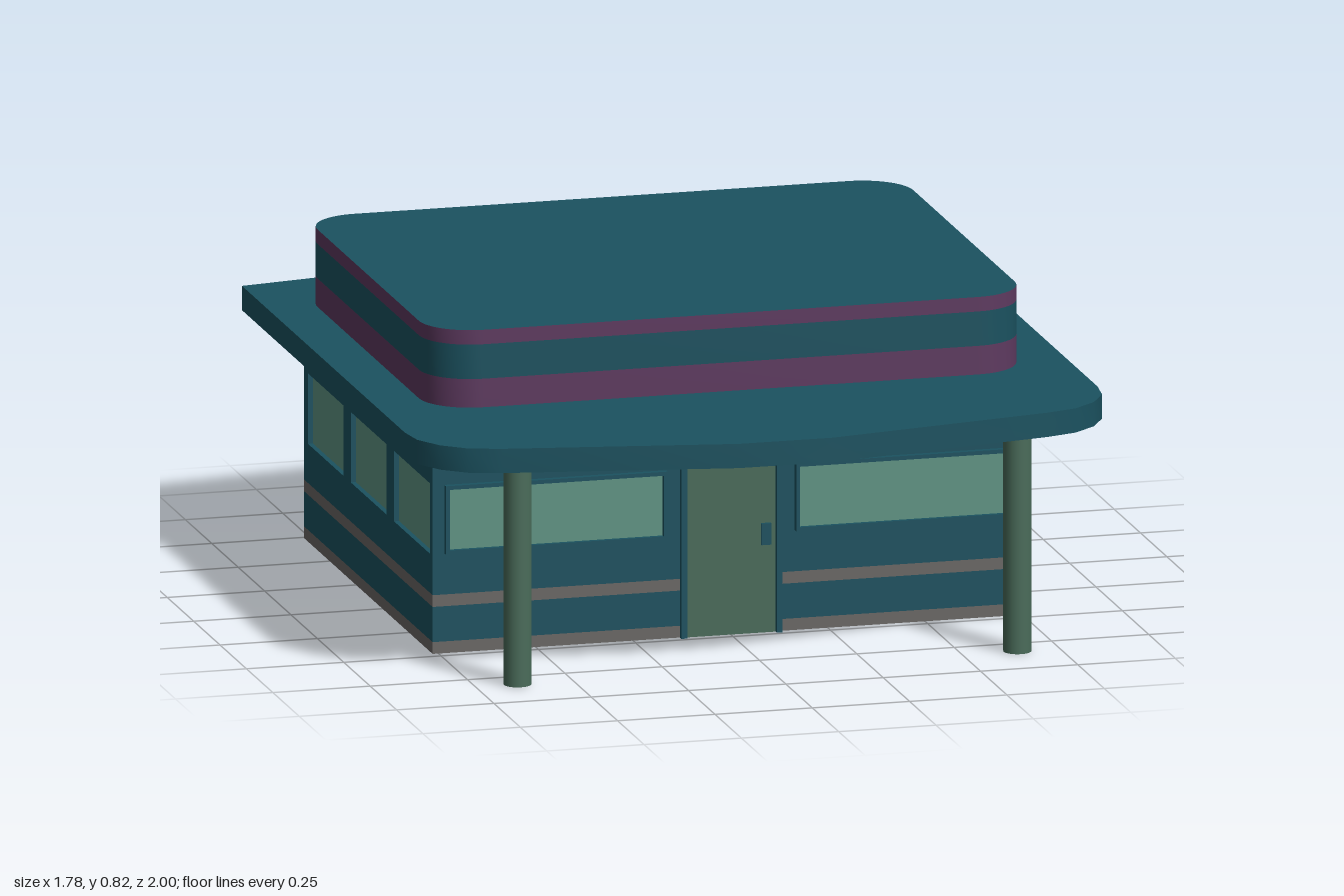
import * as THREE from 'three';
import { toCreasedNormals } from 'three/addons/utils/BufferGeometryUtils.js';

const paint = (color) => new THREE.MeshStandardMaterial({ color });
const teal = paint(0x1b5260), purple = paint(0x5e3a60), grey = paint(0x6b6866);
const glass = paint(0x609584), green = paint(0x4a6c5a);

// Footprint of the building
const X = 0.765, Z0 = -0.745, Z1 = 0.475, ZC = (Z0 + Z1) / 2, D = Z1 - Z0;
const RECESS = 0.015;

function add(parent, name, geometry, material, x = 0, y = 0, z = 0) {
  const mesh = new THREE.Mesh(geometry, material);
  mesh.name = name;
  mesh.position.set(x, y, z);
  parent.add(mesh);
  return mesh;
}

// Box given by its limits
function block(parent, name, material, [x0, x1], [y0, y1], [z0, z1]) {
  return add(parent, name, new THREE.BoxGeometry(x1 - x0, y1 - y0, z1 - z0), material,
    (x0 + x1) / 2, (y0 + y1) / 2, (z0 + z1) / 2);
}

// Rectangle outline, usable as a shape or as a hole
function rect(x0, x1, y0, y1, Type = THREE.Shape) {
  return new Type([[x0, y0], [x1, y0], [x1, y1], [x0, y1]].map(([x, y]) => new THREE.Vector2(x, y)));
}

// Plan outline (x, -z) raised from y0 to y1
function slab(parent, name, shape, materials, y0, y1) {
  const geo = new THREE.ExtrudeGeometry(shape, { depth: y1 - y0, bevelEnabled: false, curveSegments: 6 });
  geo.rotateX(-Math.PI / 2);
  return add(parent, name, toCreasedNormals(geo, 0.6), materials, 0, y0, 0);
}

function roundedPlan(r) {
  const a = -Z1, b = -Z0, s = new THREE.Shape();
  s.moveTo(-X + r, a);
  s.lineTo(X - r, a);
  s.absarc(X - r, a + r, r, -Math.PI / 2, 0);
  s.absarc(X - r, b - r, r, 0, Math.PI / 2);
  s.absarc(-X + r, b - r, r, Math.PI / 2, Math.PI);
  s.absarc(-X + r, a + r, r, Math.PI, Math.PI * 1.5);
  return s;
}

// Wall panel in local x/y with recessed windows, facing local +z from z = 0
function windowWall(parent, name, width, windows) {
  const wall = new THREE.Group();
  wall.name = name;
  const shape = rect(-width / 2, width / 2, 0.15, 0.48);
  for (const [x0, x1] of windows) shape.holes.push(rect(x0, x1, 0.25, 0.43, THREE.Path));
  add(wall, 'wallPanel', new THREE.ExtrudeGeometry(shape, { depth: RECESS, bevelEnabled: false }), teal, 0, 0, -RECESS);
  for (const [x0, x1] of windows) {
    block(wall, 'windowPane', glass, [x0, x1], [0.25, 0.43], [-RECESS - 0.005, -RECESS + 0.002]);
  }
  parent.add(wall);
  return wall;
}

export function createModel() {
  const model = new THREE.Group();
  model.name = 'roadsideBuilding';

  // Horizontal wall bands
  const base = [grey, grey, grey, teal, grey, grey];
  block(model, 'baseTrim', base, [-X, X], [0, 0.03], [Z0, Z1]);
  block(model, 'lowerWall', teal, [-X, X], [0.03, 0.12], [Z0, Z1]);
  block(model, 'middleTrim', grey, [-X, X], [0.12, 0.15], [Z0, Z1]);
  block(model, 'wallCore', teal, [-X + RECESS, X - RECESS], [0.15, 0.48], [Z0 + RECESS, Z1 - RECESS]);
  block(model, 'upperWallBand', purple, [-X, X], [0.48, 0.56], [Z0, Z1]);

  // Window walls on every side
  windowWall(model, 'frontWall', 2 * X, []).position.set(0, 0, Z1);
  const back = windowWall(model, 'backWall', 2 * X, [[0.165, 0.735]]);
  back.rotation.y = Math.PI;
  back.position.z = Z0;
  const sideWindows = [[0.11, 0.45], [-0.30, 0.04], [-0.705, -0.37]];
  for (const s of [1, -1]) {
    const panes = sideWindows.map(([a, b]) => [-s * (a - ZC), -s * (b - ZC)].sort((p, q) => p - q));
    const wall = windowWall(model, s > 0 ? 'rightViewWall' : 'leftViewWall', D, panes);
    wall.rotation.y = s * Math.PI / 2;
    wall.position.set(s * X, 0, ZC);
  }

  // Framed front windows
  for (const s of [1, -1]) {
    const frame = rect(-0.285, 0.285, 0.255, 0.43);
    frame.holes.push(rect(-0.275, 0.275, 0.265, 0.42, THREE.Path));
    add(model, 'frontWindowFrame', new THREE.ExtrudeGeometry(frame, { depth: 0.015, bevelEnabled: false }), teal, s * 0.45, 0, Z1);
    block(model, 'frontWindowPane', glass, [s * 0.45 - 0.275, s * 0.45 + 0.275], [0.265, 0.42], [Z1 - 0.005, Z1 + 0.004]);
  }

  // Door with frame and handle
  for (const s of [1, -1]) {
    block(model, 'doorPost', teal, [s * 0.1225 - 0.0075, s * 0.1225 + 0.0075], [0, 0.48], [Z1, Z1 + 0.015]);
  }
  block(model, 'doorLintel', teal, [-0.115, 0.115], [0.468, 0.48], [Z1, Z1 + 0.015]);
  block(model, 'door', green, [-0.115, 0.115], [0, 0.468], [Z1 - 0.01, Z1 + 0.004]);
  block(model, 'doorHandle', teal, [0.077, 0.102], [0.225, 0.28], [Z1, Z1 + 0.012]);

  // Canopy roof, mirrored from its right half (x, z)
  const half = [[0.12, -1], [0.89, -0.87], [0.89, 0.67], [0.88, 0.75], [0.84, 0.82],
    [0.78, 0.87], [0.70, 0.895], [0.12, 1]];
  const outline = [...half, ...half.map(([x, z]) => [-x, z]).reverse()];
  slab(model, 'canopyRoof', new THREE.Shape(outline.map(([x, z]) => new THREE.Vector2(x, -z))), teal, 0.56, 0.622);

  // Rounded parapet in striped layers
  const plan = roundedPlan(0.13);
  slab(model, 'parapetLowerBand', plan, [teal, purple], 0.622, 0.695);
  slab(model, 'parapetMiddleBand', plan, teal, 0.695, 0.783);
  slab(model, 'parapetTopBand', plan, [teal, purple], 0.783, 0.82);

  // Front posts carrying the canopy
  for (const s of [1, -1]) {
    add(model, 'canopyPost', new THREE.CylinderGeometry(0.035, 0.035, 0.56, 20), green, s * 0.642, 0.28, 0.825);
  }
  return model;
}
